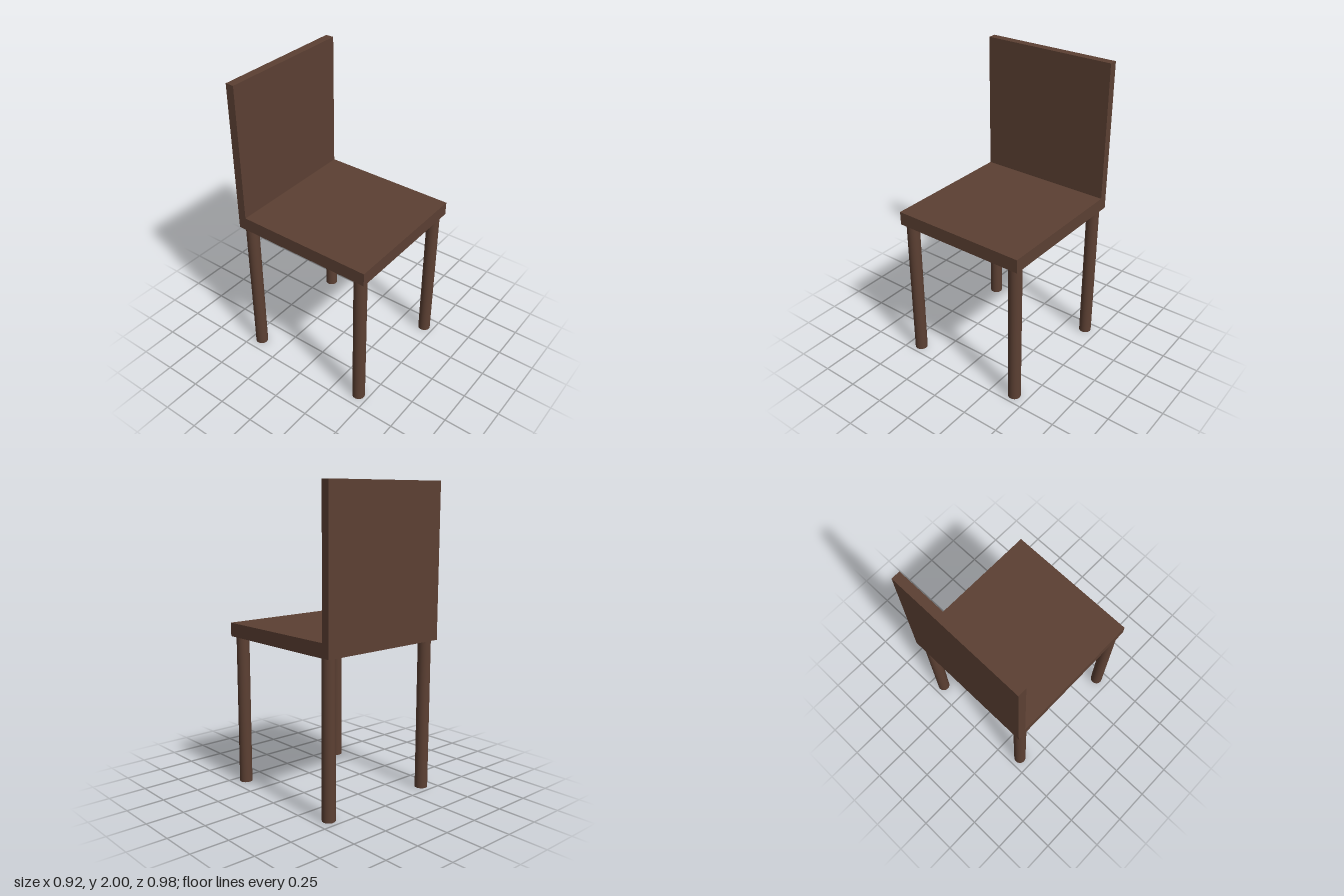
import * as THREE from 'three';

export function createModel() {
  const chair = new THREE.Group();
  chair.name = 'chair';
  const wood = new THREE.MeshStandardMaterial({ color: 0x5c4033 });
  wood.name = 'dark brown wood';

  const add = (name, geometry, x, y, z) => {
    const mesh = new THREE.Mesh(geometry, wood);
    mesh.name = name;
    mesh.position.set(x, y, z);
    chair.add(mesh);
  };

  const width = 0.92, depth = 0.98, seatBottom = 1, seatTop = 1.09;

  // Seat slab
  add('seat', new THREE.BoxGeometry(width, seatTop - seatBottom, depth), 0, (seatBottom + seatTop) / 2, 0);

  // Upright back panel, flush with the rear edge of the seat
  const backThickness = 0.057, backHeight = 2 - seatTop;
  add('backrest', new THREE.BoxGeometry(width, backHeight, backThickness),
    0, seatTop + backHeight / 2, -depth / 2 + backThickness / 2);

  // Four round legs
  const leg = new THREE.CylinderGeometry(0.042, 0.042, seatBottom, 32);
  for (const [side, x] of [['Left', 0.407], ['Right', -0.41]]) {
    add(`front${side}Leg`, leg, x, seatBottom / 2, 0.432);
    add(`back${side}Leg`, leg, x, seatBottom / 2, -0.428);
  }
  return chair;
}
